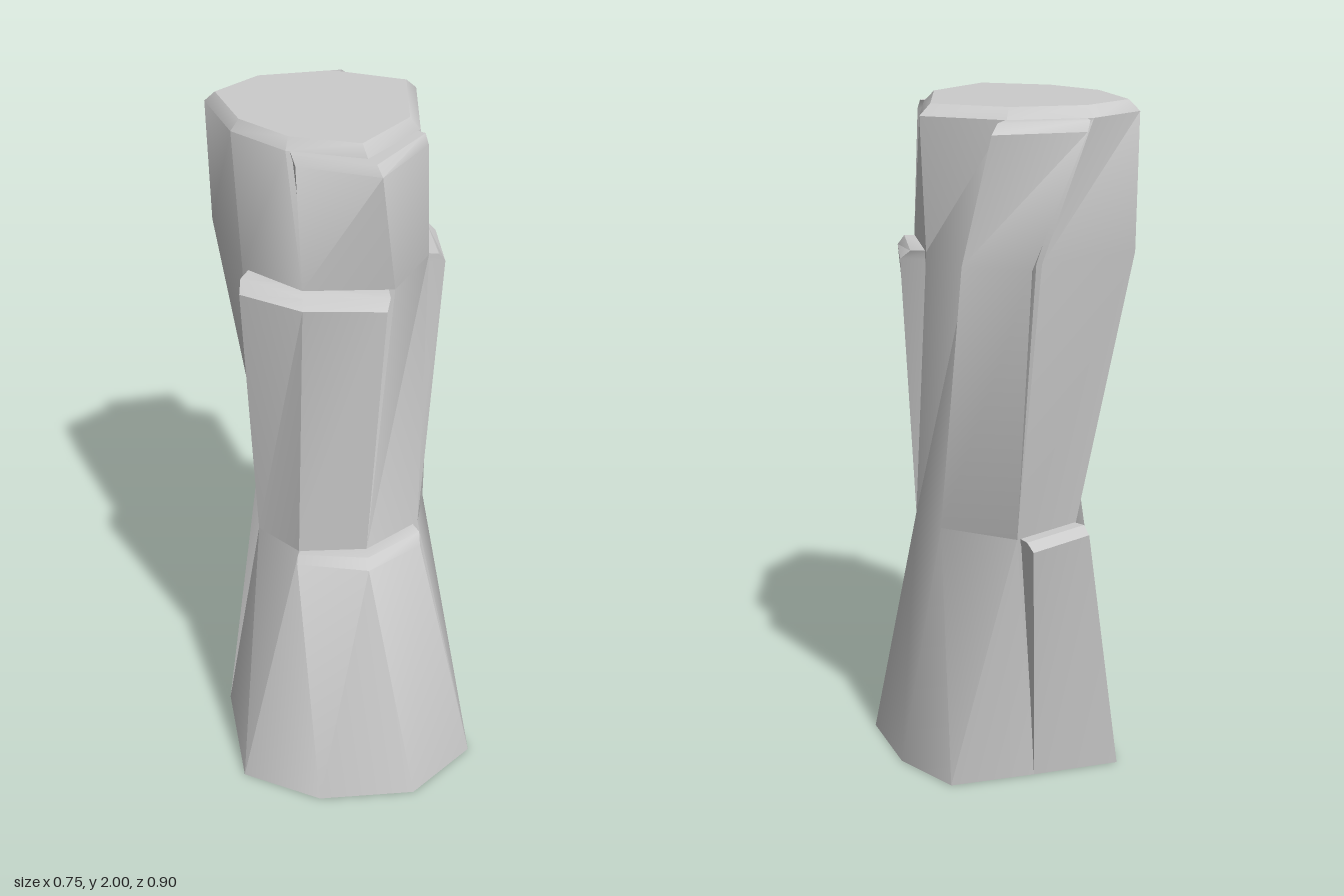
import * as THREE from 'three';
import { toCreasedNormals } from 'three/addons/utils/BufferGeometryUtils.js';

// Eight-sided trunk sections as [x, z], starting at the front and turning towards +x
const LEVELS = [
  { y: 0, pts: [[0.02, 0.45], [0.27, 0.375], [0.315, 0.115], [0.265, -0.1], [0.02, -0.165], [-0.235, -0.225], [-0.375, 0.12], [-0.235, 0.33]] },
  { y: 0.79, pts: [[-0.03, 0.25], [0.17, 0.21], [0.26, 0.1], [0.265, -0.055], [0.13, -0.25], [-0.09, -0.21], [-0.24, 0.0], [-0.2, 0.16]] },
  { y: 1.6, pts: [[0.05, 0.25], [0.24, 0.125], [0.325, -0.1], [0.275, -0.25], [0.14, -0.39], [-0.16, -0.38], [-0.235, -0.07], [-0.165, 0.13]] },
  { y: 1.97, pts: [[-0.01, 0.203], [0.21, 0.113], [0.36, -0.137], [0.205, -0.32], [-0.01, -0.4], [-0.185, -0.355], [-0.225, -0.135], [-0.165, 0.05]] },
];

const mix = (a, b, t) => [a[0] + (b[0] - a[0]) * t, a[1] + (b[1] - a[1]) * t];
const centre = (pts) => pts.reduce((c, p) => [c[0] + p[0] / pts.length, c[1] + p[1] / pts.length], [0, 0]);
const shrink = (pts, t) => pts.map((p) => mix(p, centre(pts), t));

// Trunk section at any height
function trunkAt(y) {
  let k = 0;
  while (k < LEVELS.length - 2 && y > LEVELS[k + 1].y) k++;
  const a = LEVELS[k], b = LEVELS[k + 1];
  const t = Math.min(1, (y - a.y) / (b.y - a.y));
  return a.pts.map((p, i) => mix(p, b.pts[i], t));
}

// Closed solid through a stack of sections { y, pts }
function loft(name, rings, material) {
  const pos = [];
  const put = (ring, i) => pos.push(ring.pts[i][0], ring.y, ring.pts[i][1]);
  const n = rings[0].pts.length;
  for (let k = 0; k < rings.length - 1; k++) {
    const a = rings[k], b = rings[k + 1];
    for (let i = 0; i < n; i++) {
      const j = (i + 1) % n;
      put(a, i); put(a, j); put(b, j);
      put(a, i); put(b, j); put(b, i);
    }
  }
  const cap = (ring, up) => {
    const flat = ring.pts.map(([x, z]) => new THREE.Vector2(x, -z));
    for (const [a, b, c] of THREE.ShapeUtils.triangulateShape(flat, [])) {
      for (const i of up ? [a, b, c] : [a, c, b]) put(ring, i);
    }
  };
  cap(rings[0], false);
  cap(rings[rings.length - 1], true);
  const geometry = new THREE.BufferGeometry();
  geometry.setAttribute('position', new THREE.Float32BufferAttribute(pos, 3));
  const mesh = new THREE.Mesh(toCreasedNormals(geometry, 0.75), material);
  mesh.name = name;
  return mesh;
}

// Bark plate over the trunk corners in cols: flush at its foot, standing out at
// the given outer rows, with a bevelled upper rim
function plate(name, cols, foot, rows, material) {
  const ring = (y, outer, bevel = 0) => {
    const all = trunkAt(y);
    const inner = shrink(all, 0.12);
    const face = cols.map((c, i) => (outer ? mix(outer[i], all[c], bevel) : all[c]));
    return { y, pts: [...face, ...cols.map((c) => inner[c]).reverse()] };
  };
  const rings = [ring(foot, null), ...rows.map((r) => ring(r.y, r.outer))];
  const top = rows[rows.length - 1];
  rings.push(ring(top.y + 0.025, top.outer, 0.4));
  return loft(name, rings, material);
}

export function createModel() {
  const model = new THREE.Group();
  model.name = 'barkTrunk';
  const bark = new THREE.MeshStandardMaterial({ color: 0xcccccc });

  // Twisting trunk with a bevelled cut top
  const top = LEVELS[LEVELS.length - 1];
  model.add(loft('trunk', [...LEVELS, { y: 2, pts: shrink(top.pts, 0.1) }], bark));

  // Plates around the foot
  model.add(plate('lowerFrontPlate', [7, 0, 1], 0,
    [{ y: 0.765, outer: [[-0.22, 0.183], [-0.0625, 0.315], [0.13, 0.285]] }], bark));
  model.add(plate('lowerBackPlate', [4, 5], 0,
    [{ y: 0.765, outer: [[0.11, -0.305], [-0.1, -0.265]] }], bark));

  // Plates around the middle
  model.add(plate('middleFrontPlate', [6, 7, 0], 0.79,
    [{ y: 1.575, outer: [[-0.295, 0.02], [-0.2, 0.19], [-0.01, 0.307]] }], bark));
  model.add(plate('middleSidePlate', [1, 2], 0.79,
    [{ y: 1.575, outer: [[0.285, 0.14], [0.37, -0.035]] }], bark));

  // Plates reaching the top
  model.add(plate('upperFrontPlate', [7, 0, 1], 1.6,
    [{ y: 1.945, outer: [[-0.165, 0.1], [-0.01, 0.275], [0.205, 0.16]] }], bark));
  model.add(plate('tallBackPlate', [3, 4], 0.79, [
    { y: 1.6, outer: [[0.335, -0.31], [0.205, -0.447]] },
    { y: 1.945, outer: [[0.285, -0.38], [0.045, -0.455]] },
  ], bark));

  return model;
}
